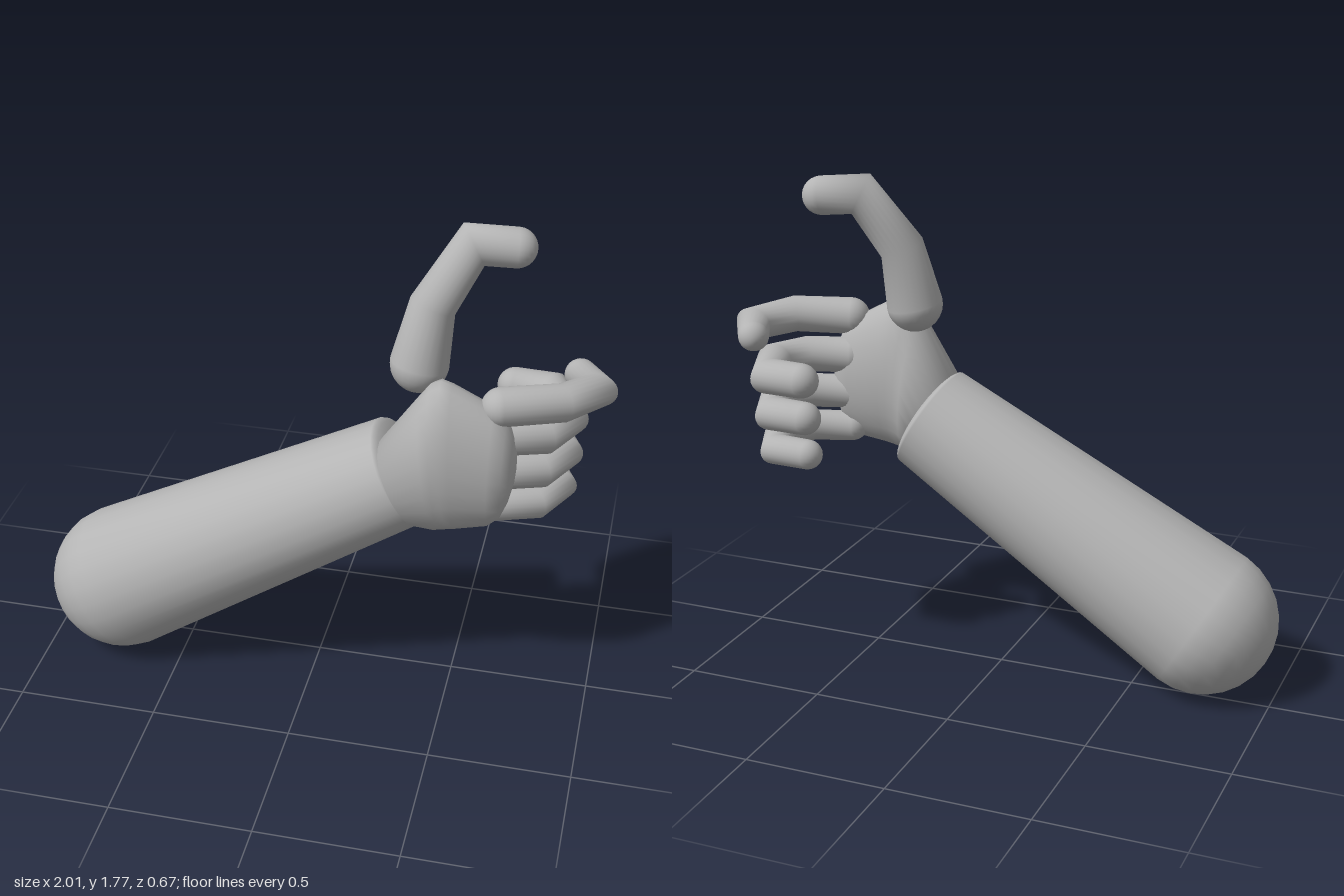
import * as THREE from 'three';

const V = (x, y, z) => new THREE.Vector3(x, y, z);
const SIDES = 24;

// Closed skin over a list of rings, with a pole point at each end
function skin(rings, startPole, endPole) {
  const n = rings[0].length;
  const points = [...rings.flat(), startPole, endPole];
  const start = points.length - 2, end = points.length - 1;
  const last = (rings.length - 1) * n;
  const index = [];
  for (let j = 0; j < n; j++) {
    const k = (j + 1) % n;
    for (let i = 0; i < rings.length - 1; i++) {
      const a = i * n + j, b = i * n + k;
      index.push(a, b, b + n, a, b + n, a + n);
    }
    index.push(start, k, j, end, last + j, last + k);
  }
  const geometry = new THREE.BufferGeometry().setFromPoints(points);
  geometry.setIndex(index);
  geometry.computeVertexNormals();
  return geometry;
}

// Jointed round limb: mitred at the bends, domed at both ends
function limb(joints, radii, endDepth = radii[radii.length - 1]) {
  const p = joints.map(j => V(...j));
  const last = p.length - 1;
  const dirs = p.slice(1).map((q, i) => q.clone().sub(p[i]).normalize());
  const u = V(0.13, 0.31, 0.94).cross(dirs[0]).normalize();
  const v = dirs[0].clone().cross(u);
  const rings = [];

  const ring = (centre, r, d, normal) => {
    const points = [];
    for (let j = 0; j < SIDES; j++) {
      const t = j / SIDES * Math.PI * 2;
      const o = u.clone().multiplyScalar(r * Math.cos(t)).addScaledVector(v, r * Math.sin(t));
      o.addScaledVector(d, -o.dot(normal) / d.dot(normal));
      points.push(o.add(centre));
    }
    rings.push(points);
  };

  const STEPS = 7;
  for (let s = 1; s <= STEPS; s++) {
    const a = s / STEPS * Math.PI / 2;
    ring(p[0].clone().addScaledVector(dirs[0], -radii[0] * Math.cos(a)), radii[0] * Math.sin(a), dirs[0], dirs[0]);
  }
  for (let i = 1; i < last; i++) {
    const normal = dirs[i - 1].clone().add(dirs[i]).normalize();
    ring(p[i], radii[i], dirs[i - 1], normal);
    const turn = new THREE.Quaternion().setFromUnitVectors(dirs[i - 1], dirs[i]);
    u.applyQuaternion(turn);
    v.applyQuaternion(turn);
  }
  const d = dirs[last - 1];
  for (let s = 0; s < STEPS; s++) {
    const a = s / STEPS * Math.PI / 2;
    ring(p[last].clone().addScaledVector(d, endDepth * Math.sin(a)), radii[last] * Math.cos(a), d, d);
  }
  return skin(rings,
    p[0].clone().addScaledVector(dirs[0], -radii[0]),
    p[last].clone().addScaledVector(d, endDepth));
}

// Palm: oval sections from wrist to knuckles
function palmGeometry() {
  // top x, top y, bottom x, bottom y, centre z, half thickness
  const sections = [
    [0.23, 1.02, 0.39, 0.73, 0.13, 0.14],
    [0.37, 1.235, 0.44, 0.725, 0.15, 0.132],
    [0.405, 1.285, 0.46, 0.73, 0.152, 0.13],
    [0.44, 1.303, 0.485, 0.735, 0.152, 0.128],
    [0.48, 1.29, 0.51, 0.74, 0.152, 0.126],
    [0.62, 1.215, 0.62, 0.76, 0.14, 0.112],
    [0.665, 1.175, 0.66, 0.795, 0.138, 0.095],
    [0.69, 1.11, 0.685, 0.86, 0.136, 0.07],
    [0.702, 1.05, 0.70, 0.93, 0.134, 0.035],
  ];
  const rings = sections.map(([ax, ay, bx, by, z, h]) => {
    const points = [];
    for (let j = 0; j < SIDES; j++) {
      const t = j / SIDES * Math.PI * 2, c = Math.cos(t);
      points.push(V((ax + bx) / 2 + c * (ax - bx) / 2, (ay + by) / 2 + c * (ay - by) / 2, z + h * Math.sin(t)));
    }
    return points;
  });
  return skin(rings, V(0.31, 0.875, 0.13), V(0.705, 0.99, 0.134));
}

export function createModel() {
  const model = new THREE.Group();
  model.name = 'forearmAndHand';
  const grey = new THREE.MeshStandardMaterial({ color: 0xb4b4b4 });
  grey.name = 'plainGrey';
  const add = (name, geometry) => {
    const mesh = new THREE.Mesh(geometry, grey);
    mesh.name = name;
    model.add(mesh);
  };

  // Arm and palm
  add('forearm', limb([[-0.735, 0.268, 0.065], [0.30, 0.885, 0.07]], [0.266, 0.196], 0.04));
  add('palm', palmGeometry());

  // Raised thumb
  add('thumb', limb(
    [[0.352, 1.305, 0.052], [0.385, 1.51, 0.025], [0.5, 1.705, -0.055], [0.637, 1.695, -0.083]],
    [0.1, 0.078, 0.068, 0.068]));

  // Half-open index finger
  add('indexFinger', limb(
    [[0.64, 1.215, 0.125], [0.835, 1.22, 0.06], [0.935, 1.205, -0.075], [0.87, 1.195, -0.19]],
    [0.067, 0.065, 0.06, 0.055]));

  // Three curled fingers
  const curled = [
    ['middleFinger', 1.078, 0.065, 0],
    ['ringFinger', 0.94, 0.062, -0.005],
    ['littleFinger', 0.806, 0.056, -0.01],
  ];
  for (const [name, y, r, dx] of curled) {
    add(name, limb(
      [[0.63, y, 0.09], [0.78 + dx, y, 0.04], [0.845 + dx, y, -0.09], [0.77 + dx, y, -0.265 - dx], [0.64 + dx, y, -0.275 - dx]],
      [r, r, r, r * 0.97, r * 0.95]));
  }
  return model;
}
